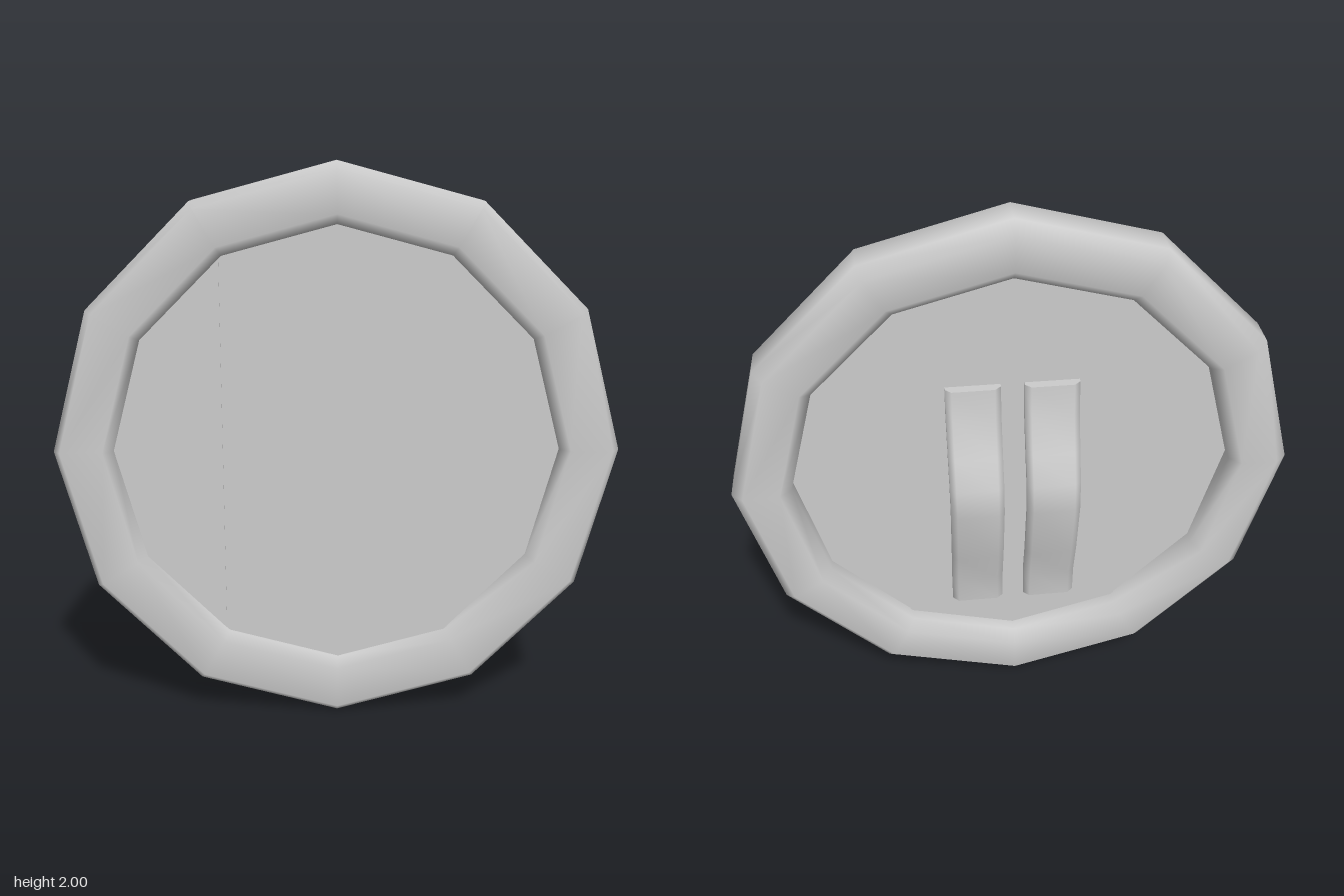
import * as THREE from 'three';

const SIDES = 12;

// Bevelled twelve-sided rim, smooth shaded
function rimGeometry() {
  const profile = [
    [1, 0.025], [1, 0.085], [0.975, 0.115], [0.825, 0.115], [0.79, 0.085],
    [0.79, -0.025], [0.83, -0.065], [0.96, -0.068], [1, -0.03], [1, 0.025],
  ].map(([r, z]) => new THREE.Vector2(r, z));
  return new THREE.LatheGeometry(profile, SIDES).rotateX(Math.PI / 2);
}

// One vertical board: the slice of the twelve-sided panel between two x values
function plankGeometry(x0, x1, back, front, radius) {
  const corners = [];
  for (let i = 0; i < SIDES; i++) {
    const a = (i / SIDES) * Math.PI * 2;
    const p = new THREE.Vector2(Math.cos(a) * radius, Math.sin(a) * radius);
    if (p.x > x0 - 1e-4 && p.x < x1 + 1e-4) corners.push(p);
  }
  const mid = (x0 + x1) / 2;
  corners.sort((p, q) => Math.atan2(p.y, p.x - mid) - Math.atan2(q.y, q.x - mid));
  return new THREE.ExtrudeGeometry(new THREE.Shape(corners), {
    depth: front - back, bevelEnabled: false,
  }).translate(0, 0, back);
}

// Bowed strap: a bevelled section lofted down a path of [y, outer z]
function strapGeometry() {
  const path = [
    [1.36, -0.015], [1.24, -0.025], [1.1, -0.068], [0.99, -0.105],
    [0.88, -0.115], [0.64, -0.066], [0.5, -0.025], [0.38, -0.015],
  ];
  const section = [
    [-0.097, 0.045], [-0.097, 0.02], [-0.075, 0], [0.075, 0], [0.097, 0.02], [0.097, 0.045],
  ];
  const n = section.length;
  const pos = [];
  const idx = [];
  const addRing = ([y, z]) => section.forEach(([x, d]) => pos.push(x, y, z + d));
  path.forEach(addRing);
  for (let i = 0; i < path.length - 1; i++) {
    for (let j = 0; j < n; j++) {
      const a = i * n + j;
      const b = i * n + ((j + 1) % n);
      idx.push(a, b, a + n, b, b + n, a + n);
    }
  }
  // Flat end caps with their own vertices
  for (const top of [true, false]) {
    const base = pos.length / 3;
    addRing(top ? path[0] : path[path.length - 1]);
    for (let j = 1; j < n - 1; j++) {
      if (top) idx.push(base, base + j + 1, base + j);
      else idx.push(base, base + j, base + j + 1);
    }
  }
  const g = new THREE.BufferGeometry();
  g.setAttribute('position', new THREE.Float32BufferAttribute(pos, 3));
  g.setIndex(idx);
  g.computeVertexNormals();
  return g;
}

export function createModel() {
  const model = new THREE.Group();
  model.name = 'roundShield';
  const grey = new THREE.MeshStandardMaterial({ color: 0xcccccc, side: THREE.DoubleSide });
  grey.name = 'lightGrey';

  const add = (name, geometry, x, y) => {
    const mesh = new THREE.Mesh(geometry, grey);
    mesh.name = name;
    mesh.position.set(x, y, 0);
    model.add(mesh);
  };

  add('rim', rimGeometry(), 0, 1);

  // Four boards set at very slightly different depths
  const radius = 0.81;
  const fronts = [0.077, 0.073, 0.077, 0.073];
  const backs = [0.024, 0.02, 0.02, 0.024];
  for (let i = 0; i < 4; i++) {
    const x0 = (i / 2 - 1) * radius;
    add('plank' + (i + 1), plankGeometry(x0, x0 + radius / 2, backs[i], fronts[i], radius), 0, 1);
  }

  // Pair of arm straps on the back
  const strap = strapGeometry();
  add('leftStrap', strap, 0.138, 0);
  add('rightStrap', strap, -0.138, 0);
  return model;
}
